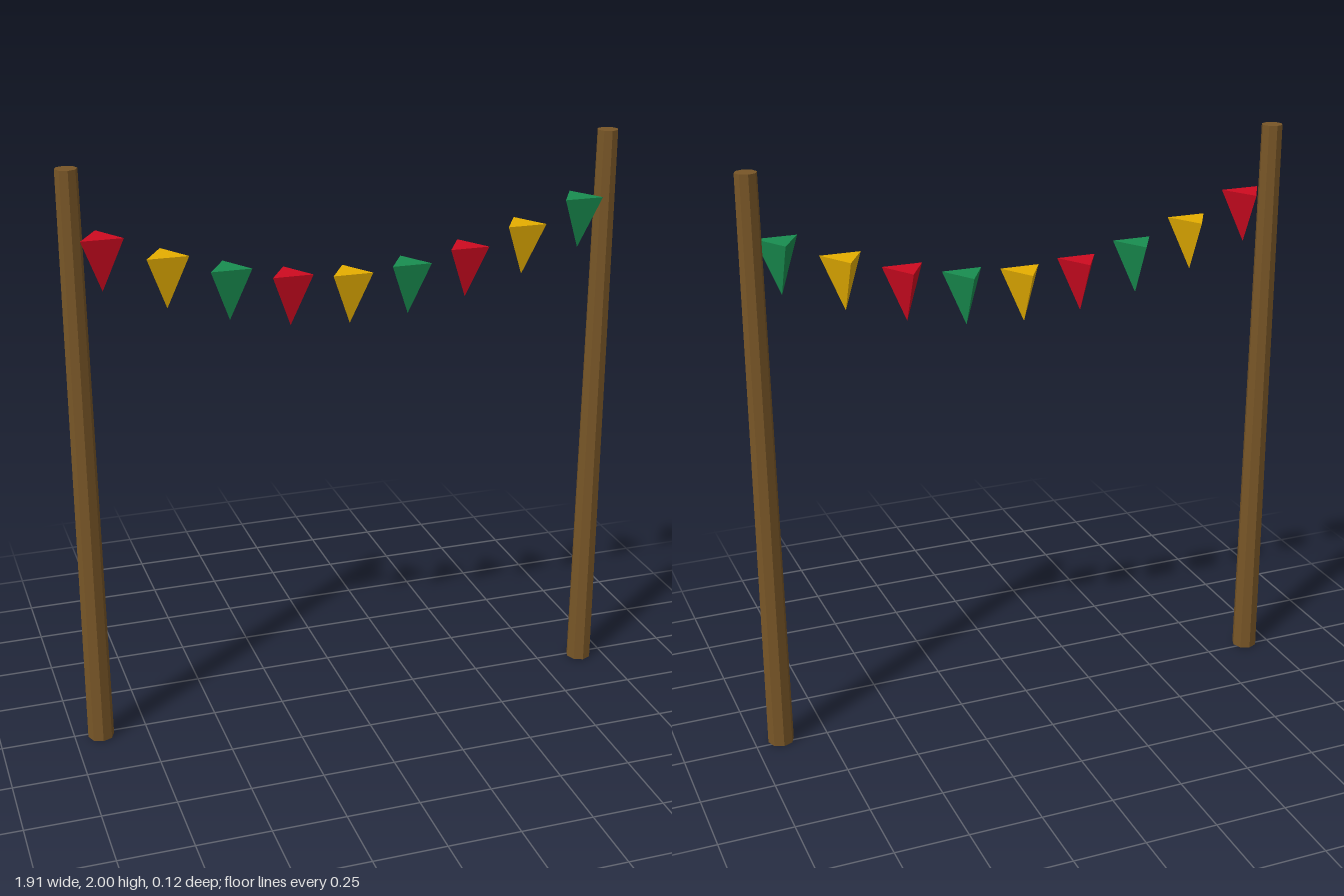
import * as THREE from 'three';

export function createModel() {
  const group = new THREE.Group();
  const material = (name, color) => {
    const m = new THREE.MeshStandardMaterial({ color, flatShading: true });
    m.name = name;
    return m;
  };
  const wood = material('brown wood', 0x785627);
  const cloth = [
    material('red cloth', 0xce0a20),
    material('gold cloth', 0xe6ae00),
    material('green cloth', 0x188e50),
  ];
  const z = 0.017;

  // Two tapered eight-sided posts
  const postShape = new THREE.CylinderGeometry(0.036, 0.045, 2, 8);
  for (const side of [-1, 1]) {
    const post = new THREE.Mesh(postShape, wood);
    post.name = side < 0 ? 'rightPost' : 'leftPost';
    post.position.set(side * 0.91, 1, z);
    group.add(post);
  }

  // Nine three-sided pennants, point down, hanging along a sagging curve
  const height = 0.178;
  const flagShape = new THREE.ConeGeometry(0.079, height, 3).rotateX(Math.PI);
  const pennants = new THREE.Group();
  pennants.name = 'pennants';
  for (let i = 0; i < 9; i++) {
    const k = i - 4;
    const top = 1.59 + 0.272 * (1 - Math.cos((k * Math.PI) / 10));
    const flag = new THREE.Mesh(flagShape, cloth[i % 3]);
    flag.name = `pennant${i + 1}`;
    flag.position.set(k * 0.2045, top - height / 2, z);
    pennants.add(flag);
  }
  group.add(pennants);
  return group;
}
